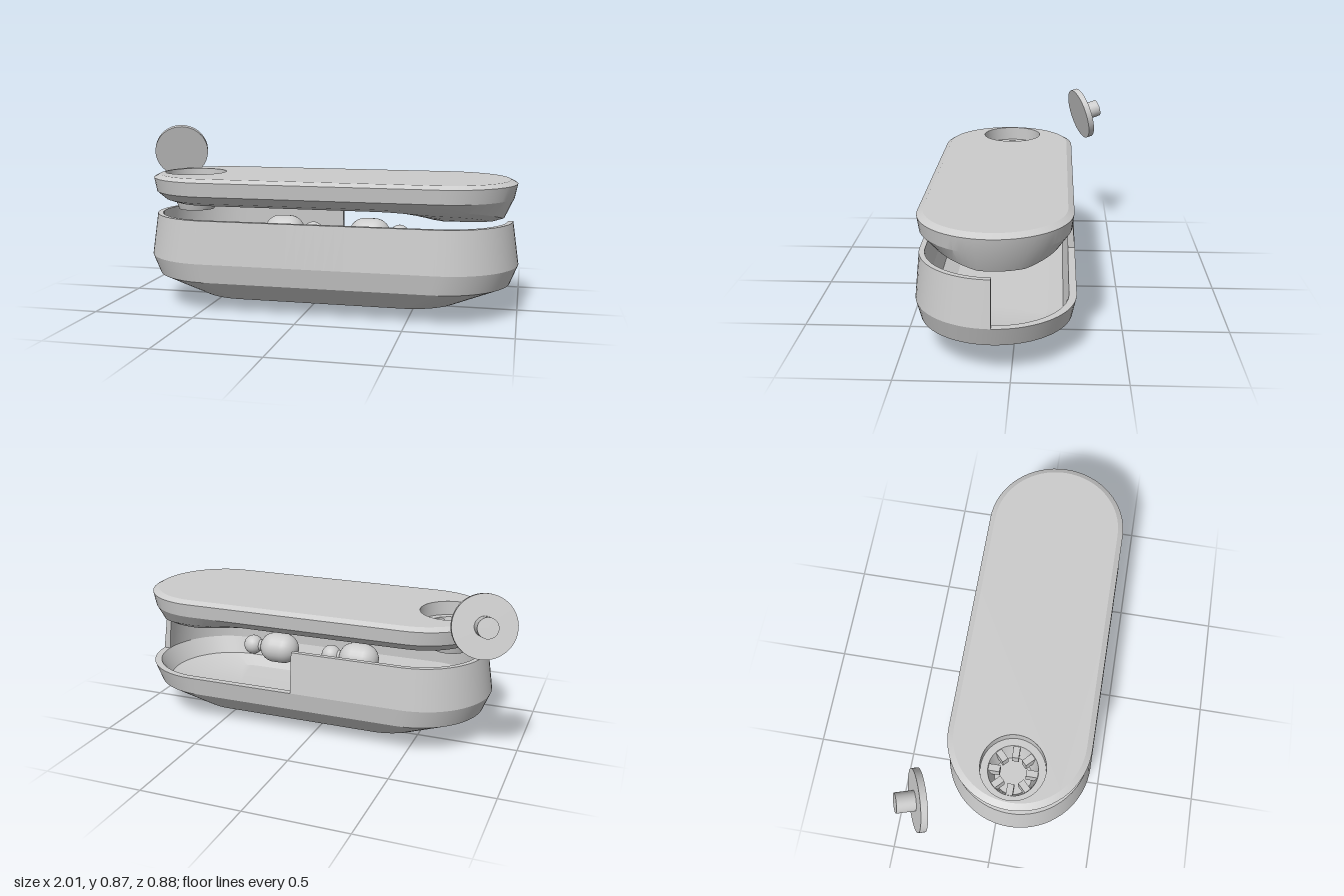
import * as THREE from 'three';
import { toCreasedNormals } from 'three/addons/utils/BufferGeometryUtils.js';

const CX = 0.08, CZ = 0.08;
const material = new THREE.MeshStandardMaterial({ color: 0xcccccc });
const doubleSided = new THREE.MeshStandardMaterial({ color: 0xcccccc, side: THREE.DoubleSide });

// Stadium outline: s is the place along the spine, (nx, nz) the outward direction
function stadiumOutline() {
  const pts = [];
  const arc = (s, a0, a1, n) => {
    for (let i = 0; i <= n; i++) {
      const a = THREE.MathUtils.degToRad(a0 + ((a1 - a0) * i) / n);
      pts.push({ s, nx: Math.cos(a), nz: Math.sin(a) });
    }
  };
  const straight = (from, to, nz) => {
    for (let i = 1; i < 24; i++) pts.push({ s: from + ((to - from) * i) / 24, nx: 0, nz });
  };
  arc(1, 0, 90, 16);
  straight(1, -1, 1);
  arc(-1, 90, 270, 32);
  straight(-1, 1, -1);
  arc(1, 270, 360, 16);
  return pts;
}
const OUTLINE = stadiumOutline();

// Loft along rings of [y, half spine, radius]; warp may move each point
function loft(rings, cols = OUTLINE, warp = null, caps = false) {
  const pos = [], index = [], n = cols.length;
  for (const [y, half, r] of rings) {
    for (const c of cols) {
      const p = new THREE.Vector3(CX + c.s * half + c.nx * r, y, CZ + c.nz * r);
      if (warp) warp(p);
      pos.push(p.x, p.y, p.z);
    }
  }
  for (let i = 0; i < rings.length - 1; i++) {
    for (let j = 0; j < n - 1; j++) {
      const a = i * n + j, b = a + 1, c = a + n, d = c + 1;
      index.push(a, c, b, b, c, d);
    }
  }
  // End faces for a four-ring open wall
  if (caps) for (const j of [0, n - 1]) index.push(j, j + n, j + 2 * n, j, j + 2 * n, j + 3 * n);
  const g = new THREE.BufferGeometry();
  g.setAttribute('position', new THREE.Float32BufferAttribute(pos, 3));
  g.setIndex(index);
  return toCreasedNormals(g, 0.35);
}

function add(parent, name, geometry, mat = material) {
  const mesh = new THREE.Mesh(geometry, mat);
  mesh.name = name;
  parent.add(mesh);
  return mesh;
}

function makeBase() {
  const base = new THREE.Group();
  base.name = 'base';
  // Hull up to the ledge, then the cavity inside
  add(base, 'hull', loft([
    [0.003, 0, 0], [0.065, 0.4, 0.255], [0.157, 0.54, 0.342], [0.25, 0.56, 0.36],
    [0.25, 0.56, 0.325], [0.16, 0.53, 0.3], [0.12, 0.45, 0.23], [0.11, 0.45, 0],
  ]));
  // Side wall, open at the back from the middle to the left end
  const kept = OUTLINE.slice(0, 17 + 23 + 33 + 12);
  add(base, 'sideWall', loft([
    [0.25, 0.56, 0.36], [0.457, 0.55, 0.34], [0.457, 0.55, 0.315], [0.25, 0.56, 0.325],
  ], kept, null, true), doubleSided);

  // Ball-ended plungers lying along the cavity
  for (const x of [0.42, -0.02]) {
    add(base, 'plungerBall', new THREE.SphereGeometry(0.05, 24, 16)).position.set(x, 0.36, 0.03);
    const barrel = add(base, 'plungerBarrel', new THREE.CapsuleGeometry(0.078, 0.05, 8, 24));
    barrel.rotation.z = Math.PI / 2;
    barrel.position.set(x - 0.15, 0.36, 0.03);
    const stem = add(base, 'plungerStem', new THREE.CylinderGeometry(0.03, 0.03, 0.16, 16));
    stem.rotation.z = Math.PI / 2;
    stem.position.set(x - 0.08, 0.36, 0.03);
  }
  return base;
}

function makeLid() {
  const lid = new THREE.Group();
  lid.name = 'lid';
  const hx = -0.63, hz = 0.07;
  // Underside swells downwards towards the left end
  const bulge = (p) => {
    if (p.y > 0.56) return;
    const along = THREE.MathUtils.smoothstep(p.x, 0.36, 0.66);
    const across = THREE.MathUtils.clamp((0.33 - Math.abs(p.z - 0.04)) / 0.23, 0, 1);
    p.y -= 0.055 * along * across;
  };
  add(lid, 'lidShell', loft([
    [0.508, 0.56, 0], [0.508, 0.56, 0.06], [0.508, 0.56, 0.12], [0.51, 0.56, 0.18],
    [0.515, 0.56, 0.24], [0.532, 0.56, 0.29], [0.57, 0.56, 0.333],
    [0.638, 0.565, 0.342], [0.655, 0.56, 0.315],
  ], OUTLINE, bulge));

  // Flat top with a round opening
  const shape = new THREE.Shape(OUTLINE.slice(0, -1).map((c) =>
    new THREE.Vector2(CX + c.s * 0.56 + c.nx * 0.315, -(CZ + c.nz * 0.315))));
  shape.holes.push(new THREE.Path().absarc(hx, -hz, 0.155, 0, Math.PI * 2));
  const top = add(lid, 'lidTop', new THREE.ShapeGeometry(shape, 24));
  top.rotation.x = -Math.PI / 2;
  top.position.y = 0.655;

  // Stepped socket with a collar below and a ring of teeth
  const profile = [[0.155, 0.655], [0.155, 0.585], [0.12, 0.585], [0.105, 0.51], [0.09, 0.465], [0, 0.465]]
    .map(([r, y]) => new THREE.Vector2(r, y));
  const socket = add(lid, 'socket', toCreasedNormals(new THREE.LatheGeometry(profile, 48), 0.5), doubleSided);
  socket.position.set(hx, 0, hz);
  for (let i = 0; i < 8; i++) {
    const a = (i * Math.PI) / 4;
    const tooth = add(lid, 'socketTooth', new THREE.BoxGeometry(0.055, 0.075, 0.032));
    tooth.position.set(hx + Math.cos(a) * 0.09, 0.543, hz - Math.sin(a) * 0.09);
    tooth.rotation.y = a;
  }
  return lid;
}

// Loose button: a disc with a short stem, tilted in the air behind the lid
function makeButton() {
  const button = new THREE.Group();
  button.name = 'button';
  add(button, 'buttonDisc', new THREE.CylinderGeometry(0.145, 0.145, 0.032, 48)).position.y = 0.016;
  add(button, 'buttonStem', new THREE.CylinderGeometry(0.047, 0.047, 0.09, 32)).position.y = 0.075;
  const axis = new THREE.Vector3(-0.33, 0.25, -0.91).normalize();
  button.quaternion.setFromUnitVectors(new THREE.Vector3(0, 1, 0), axis);
  button.position.set(-0.858, 0.722, -0.308);
  return button;
}

export function createModel() {
  const model = new THREE.Group();
  model.name = 'case';
  model.add(makeBase(), makeLid(), makeButton());
  return model;
}
